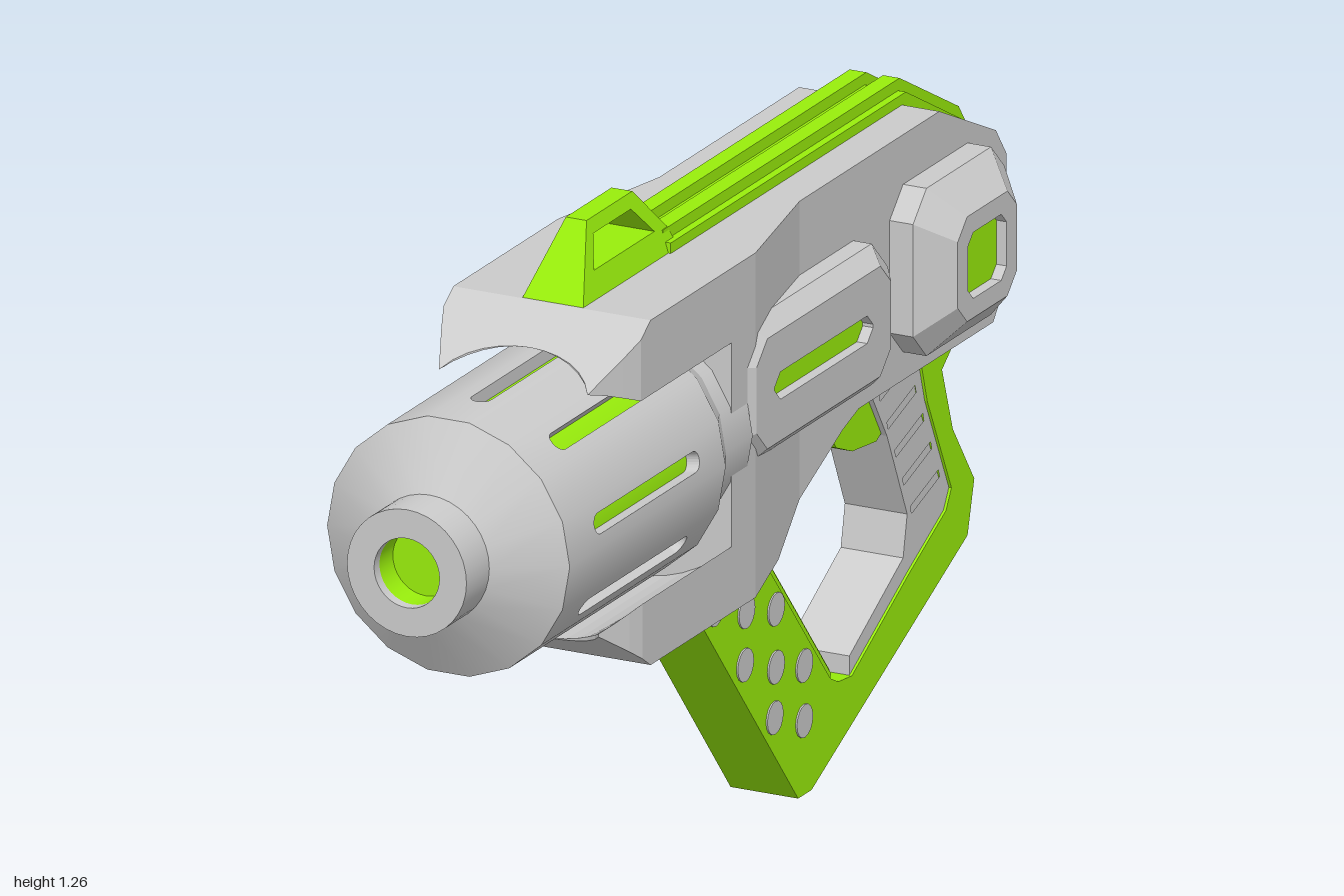
import * as THREE from 'three';

const grey = new THREE.MeshStandardMaterial({ color: 0xcccccc });
const green = new THREE.MeshStandardMaterial({ color: 0x99ee0c });
const AXIS = 0.815; // height of the barrel axis

function add(parent, name, geometry, material) {
  const mesh = new THREE.Mesh(geometry, material);
  mesh.name = name;
  parent.add(mesh);
  return mesh;
}

const toShape = (pts) => new THREE.Shape(pts.map(([z, y]) => new THREE.Vector2(z, y)));

// Side profile in (z, y), extruded across x from x0 to x1
function slab(pts, x0, x1, holes = []) {
  const shape = toShape(pts);
  shape.holes = holes.map(toShape);
  return new THREE.ExtrudeGeometry(shape, { depth: x1 - x0, bevelEnabled: false })
    .translate(0, 0, -x1).rotateY(-Math.PI / 2);
}

// Move vertices by a rule, then give flat normals
function reshape(geometry, rule) {
  const g = geometry.index ? geometry.toNonIndexed() : geometry;
  const p = g.attributes.position, v = new THREE.Vector3();
  for (let i = 0; i < p.count; i++) {
    rule(v.fromBufferAttribute(p, i));
    p.setXYZ(i, v.x, v.y, v.z);
  }
  g.computeVertexNormals();
  return g;
}

// Octagonal rings [halfZ, halfY, corner, x] joined outward along +x
function rings(list, cap) {
  const loops = list.map(([h, k, c, x]) => [
    [h - c, -k], [h, c - k], [h, k - c], [h - c, k], [c - h, k], [-h, k - c], [-h, c - k], [c - h, -k],
  ].map(([u, y]) => [x, y, -u]));
  const out = [];
  for (let i = 0; i + 1 < loops.length; i++) {
    for (let j = 0; j < 8; j++) {
      const n = (j + 1) % 8, [a, b, c, d] = [loops[i][j], loops[i][n], loops[i + 1][n], loops[i + 1][j]];
      out.push(...a, ...b, ...c, ...a, ...c, ...d);
    }
  }
  const last = loops[loops.length - 1];
  if (cap) for (let j = 1; j < 7; j++) out.push(...last[0], ...last[j], ...last[j + 1]);
  const g = new THREE.BufferGeometry();
  g.setAttribute('position', new THREE.Float32BufferAttribute(out, 3));
  g.computeVertexNormals();
  return g;
}

function buildBody(root) {
  const body = new THREE.Group();
  body.name = 'body';
  root.add(body);
  add(body, 'rearBody', slab([[-0.2, 1.135], [-0.72, 1.135], [-0.93, 1.035], [-0.97, 0.98], [-0.97, 0.75],
    [-0.92, 0.69], [-0.42, 0.69], [-0.36, 0.67], [-0.2, 0.595]], -0.135, 0.135), grey);
  const middle = slab([[0.07, 1.135], [-0.2, 1.135], [-0.2, 0.595], [-0.07, 0.53], [0.07, 0.51]], -1, 1);
  add(body, 'middleBody', reshape(middle, (v) => { v.x *= 0.135 + 0.055 * (v.z + 0.2) / 0.27; }), grey);
  add(body, 'frontBody', slab([[0.16, 1.135], [0.07, 1.135], [0.07, 0.51], [0.16, 0.51]], -0.19, 0.19), grey);

  // Shrouds above and below the barrel, arched on the inside
  const arch = (x) => Math.sqrt(0.265 ** 2 - x * x);
  for (const [name, h, turn] of [['upperShroud', 0.32, 0], ['lowerShroud', 0.305, Math.PI]]) {
    const g = reshape(new THREE.BoxGeometry(1, 1, 1, 12, 1, 8), (v) => {
      const u = v.x * 2, s = v.z + 0.5, isTop = v.y > 0;
      const end = 0.46 + (h - arch(u * 0.145)) / 0.68;
      const z = s < 0.5 ? 0.16 + 0.6 * s : 0.46 + (s - 0.5) * 2 * (end - 0.46);
      const x = u * (0.19 - 0.45 * Math.max(0, z - 0.5));
      const top = h - 0.68 * Math.max(0, z - 0.46);
      v.set(x, isTop ? top : Math.min(arch(x), top), z);
    });
    const shroud = add(body, name, g, grey);
    shroud.position.y = AXIS;
    shroud.rotation.z = turn;
  }

  // Bevelled side panels and rear pods with green insets
  const fittings = [
    ['sidePanel', 0.873, -0.165, [[0.295, 0.128, 0.06, 0.1], [0.295, 0.128, 0.06, 0.17],
      [0.25, 0.1, 0.04, 0.2], [0.183, 0.025, 0.022, 0.2], [0.183, 0.025, 0.022, 0.18]]],
    ['rearPod', 0.893, -0.705, [[0.17, 0.152, 0.05, 0.1], [0.17, 0.152, 0.05, 0.18],
      [0.11, 0.095, 0.035, 0.235], [0.072, 0.06, 0.02, 0.235], [0.072, 0.06, 0.02, 0.215]]],
  ];
  for (const [name, y, z, list] of fittings) {
    for (const turn of [0, Math.PI]) {
      const fitting = new THREE.Group();
      fitting.name = (turn ? 'right ' : 'left ') + name;
      fitting.position.set(0, y, z);
      fitting.rotation.y = turn;
      add(fitting, name + 'Frame', rings(list, false), grey);
      add(fitting, name + 'Inset', rings(list.slice(-1), true), green);
      body.add(fitting);
    }
  }
}

function buildBarrel(root) {
  const barrel = new THREE.Group();
  barrel.name = 'barrel';
  barrel.position.y = AXIS;
  root.add(barrel);
  const apothem = 0.23, half = apothem * Math.tan(Math.PI / 18), R = apothem / Math.cos(Math.PI / 18);

  // Eighteen staves, every second one slotted
  for (let k = 0; k < 18; k++) {
    const shape = toShape([[-half, 0.265], [half, 0.265], [half, 0.845], [-half, 0.845]]);
    if (k % 2) {
      const slot = new THREE.Path(), r = 0.0185;
      slot.absarc(0, 0.74 - r, r, 0, Math.PI);
      slot.absarc(0, 0.35 + r, r, Math.PI, 2 * Math.PI);
      shape.holes.push(slot);
    }
    const g = new THREE.ExtrudeGeometry(shape, { depth: 0.025, bevelEnabled: false, curveSegments: 6 })
      .translate(0, 0, apothem - 0.025);
    const p = g.attributes.position, n = g.attributes.normal, v = new THREE.Vector3();
    for (let i = 0; i < p.count; i++) {
      if (n.getZ(i) < 0.9) continue;
      v.set(p.getX(i), 0, apothem).normalize(); // rounded shading on the outside
      n.setXYZ(i, v.x, v.y, v.z);
    }
    add(barrel, 'barrelStave', g.rotateX(Math.PI / 2).rotateZ(k * Math.PI / 9), grey);
  }

  // Rear cone, front cone and hollow muzzle, one lathe per face to keep edges sharp
  const turned = (name, pts, material) => {
    for (let i = 0; i + 1 < pts.length; i++) {
      const pair = [pts[i], pts[i + 1]].map(([r, z]) => new THREE.Vector2(r, z));
      const sides = Math.max(pair[0].x, pair[1].x) > 0.12 ? 18 : 36;
      add(barrel, name, new THREE.LatheGeometry(pair, sides, Math.PI / 18).rotateX(Math.PI / 2), material);
    }
  };
  turned('barrelRear', [[0.2, 0.1], [0.2, 0.2], [R, 0.265]], grey);
  turned('muzzle', [[R, 0.845], [0.115, 0.915], [0.115, 1], [0.063, 1], [0.063, 0.98]], grey);
  turned('bore', [[0.063, 0.98], [0.063, 0.93], [0, 0.93]], green);
  turned('barrelCore', [[0.208, 0.25], [0.208, 0.85]], green);
}

function buildSpineAndSight(root) {
  // Spine following the top and back: a wide band carrying two rails
  const outer = [[0.14, 1.175], [-0.74, 1.175], [-0.96, 1.055], [-1, 1], [-1, 0.73], [-0.95, 0.655],
    [-0.88, 0.61], [-0.92, 0.49], [-1, 0.375], [-0.96, 0.28]];
  const inner = [[0.14, 1.1], [-0.72, 1.1], [-0.9, 1], [-0.93, 0.97], [-0.93, 0.75], [-0.9, 0.69],
    [-0.82, 0.62], [-0.85, 0.49], [-0.91, 0.385], [-0.88, 0.33]];
  const band = (t, x0, x1) => slab([...inner, ...outer.map(([z, y], i) =>
    [inner[i][0] + (z - inner[i][0]) * t, inner[i][1] + (y - inner[i][1]) * t]).reverse()], x0, x1);
  add(root, 'spine', band(0.72, -0.063, 0.063), green);
  for (const s of [-1, 1]) add(root, 'spineRail', band(1, s * 0.032 - 0.016, s * 0.032 + 0.016), green);

  // Sight, narrowing upward, with an opening through it
  const sight = slab([[0.46, 1.13], [0.37, 1.26], [0.2, 1.26], [0.12, 1.175], [0.1, 1.13]], -1, 1,
    [[[0.39, 1.18], [0.36, 1.235], [0.22, 1.235], [0.165, 1.18]]]);
  add(root, 'sight', reshape(sight, (v) => { v.x *= 0.06 - 0.04 * (v.y - 1.13) / 0.13; }), green);
}

function buildHandle(root) {
  const handle = new THREE.Group();
  handle.name = 'handle';
  root.add(handle);
  add(handle, 'handleFrame', slab([[0.12, 0.54], [0.1, 0.51], [-0.33, 0], [-0.38, 0], [-0.96, 0.28], [-0.985, 0.375],
    [-0.905, 0.49], [-0.865, 0.61], [-0.93, 0.66], [-0.93, 0.75], [-0.8, 0.75], [-0.78, 0.67], [-0.81, 0.57],
    [-0.9, 0.385], [-0.88, 0.35], [-0.745, 0.28], [-0.53, 0.16], [-0.48, 0.165], [-0.45, 0.18], [-0.11, 0.58]],
  -0.065, 0.065), green);

  // Rounded inner edge of the front strut
  const edge = new THREE.CylinderGeometry(1, 1, 0.53, 20).scale(0.064, 1, 0.036);
  const strut = add(handle, 'strutEdge', edge, green);
  strut.position.set(0, 0.38, -0.28);
  strut.rotation.x = Math.atan2(0.34, 0.4);

  // Studs through the strut
  const studs = [[-0.135, 0.5], [-0.02, 0.44], [-0.135, 0.4], [-0.245, 0.37], [-0.13, 0.305],
    [-0.245, 0.265], [-0.35, 0.235], [-0.24, 0.175], [-0.35, 0.135]];
  for (const [z, y] of studs) {
    add(handle, 'stud', new THREE.CylinderGeometry(0.03, 0.03, 0.136, 16).rotateZ(Math.PI / 2), grey)
      .position.set(0, y, z);
  }

  // Grip with slanted grooves over a solid core
  const grip = [[-0.57, 0.72], [-0.6, 0.66], [-0.67, 0.55], [-0.745, 0.385], [-0.73, 0.31], [-0.53, 0.195],
    [-0.53, 0.15], [-0.745, 0.27], [-0.89, 0.34], [-0.91, 0.385], [-0.82, 0.57], [-0.79, 0.72]];
  const grooves = [];
  for (let i = 0; i < 5; i++) {
    const z = -0.695 - 0.029 * i, y = 0.645 - 0.06 * i;
    grooves.push([[-1, -1], [1, -1], [1, 1], [-1, 1]].map(([a, b]) =>
      [z - 0.052 * a + 0.002 * b, y + 0.017 * a + 0.007 * b]));
  }
  add(handle, 'grip', slab(grip, -0.06, 0.06, grooves), grey);
  add(handle, 'gripCore', slab(grip, -0.045, 0.045), grey);

  add(handle, 'trigger', slab([[-0.41, 0.72], [-0.42, 0.69], [-0.5, 0.58], [-0.56, 0.555], [-0.65, 0.545],
    [-0.68, 0.56], [-0.6, 0.72]], -0.05, 0.05), green);
}

export function createModel() {
  const root = new THREE.Group();
  root.name = 'toyBlaster';
  buildBody(root);
  buildBarrel(root);
  buildSpineAndSight(root);
  buildHandle(root);
  return root;
}
